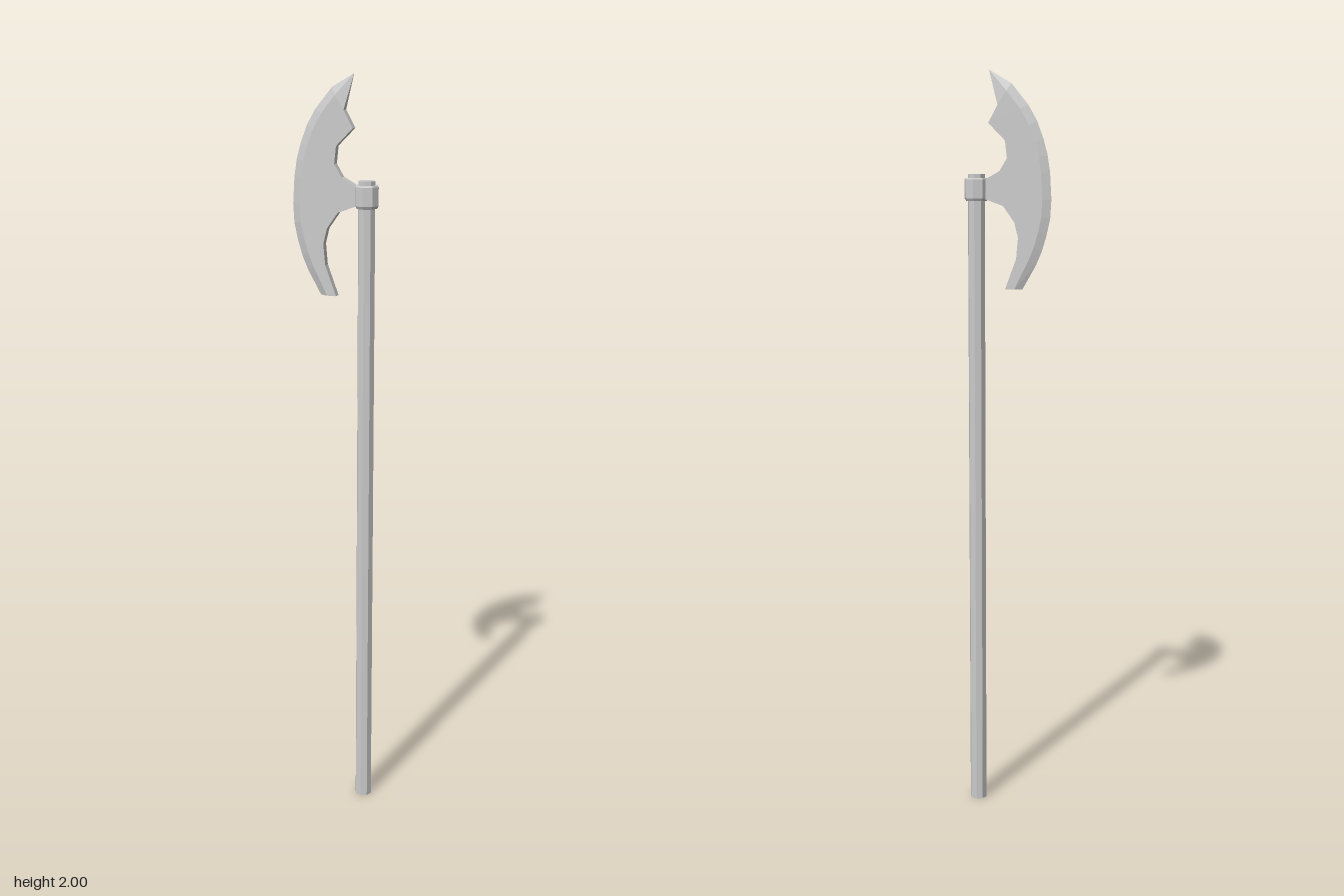
import * as THREE from 'three';

const POLE_X = 0.085;

// Blade stations from tip to heel: [back edge x, y, cutting edge x, y]
const STATIONS = [
  [0.05, 2.0, 0.05, 2.0],
  [0.025, 1.91, -0.01, 1.965],
  [0.05, 1.865, -0.055, 1.91],
  [0.005, 1.82, -0.078, 1.87],
  [0, 1.775, -0.095, 1.825],
  [0.02, 1.742, -0.106, 1.785],
  [0.06, 1.72, -0.113, 1.74],
  [0.06, 1.67, -0.117, 1.67],
  [0.01, 1.652, -0.114, 1.62],
  [-0.02, 1.61, -0.104, 1.575],
  [-0.03, 1.57, -0.092, 1.535],
  [-0.025, 1.515, -0.077, 1.5],
  [0.005, 1.435, -0.04, 1.435],
];

// Thick flat back, bevelled to a sharp cutting edge
function bladeGeometry() {
  const positions = [], index = [], ring = 5;
  STATIONS.forEach(([bx, by, ex, ey], i) => {
    const z = i === 0 ? 0 : 0.01;
    const width = Math.hypot(bx - ex, by - ey);
    const t = width > 0 ? Math.min(0.45, 0.022 / width) : 0;
    const rx = ex + (bx - ex) * t, ry = ey + (by - ey) * t;
    positions.push(bx, by, z, rx, ry, z, ex, ey, 0, rx, ry, -z, bx, by, -z);
    if (i === 0) return;
    for (let k = 0; k < ring; k++) {
      const n = (k + 1) % ring, a = (i - 1) * ring, b = i * ring;
      if (i > 1) index.push(a + k, a + n, b + n);
      index.push(a + k, b + n, b + k);
    }
  });
  // Heel cap
  const last = (STATIONS.length - 1) * ring;
  for (let k = 1; k < ring - 1; k++) index.push(last, last + k, last + k + 1);
  const geometry = new THREE.BufferGeometry();
  geometry.setAttribute('position', new THREE.Float32BufferAttribute(positions, 3));
  geometry.setIndex(index);
  geometry.computeVertexNormals();
  return geometry;
}

export function createModel() {
  const group = new THREE.Group();
  const material = new THREE.MeshStandardMaterial({ color: 0xcccccc, flatShading: true });

  function add(name, geometry, x = 0, y = 0) {
    const mesh = new THREE.Mesh(geometry, material);
    mesh.name = name;
    mesh.position.set(x, y, 0);
    group.add(mesh);
  }

  // Eight-sided pole, its top standing just proud of the collar
  add('pole', new THREE.CylinderGeometry(0.023, 0.023, 1.735, 8), POLE_X, 1.735 / 2);

  // Collar holding the blade, slightly chamfered at both ends
  const profile = [[0, 1.665], [0.028, 1.665], [0.032, 1.672], [0.032, 1.72], [0.03, 1.724], [0, 1.724]]
    .map(([r, y]) => new THREE.Vector2(r, y));
  add('collar', new THREE.LatheGeometry(profile, 8), POLE_X);

  add('blade', bladeGeometry());
  return group;
}
